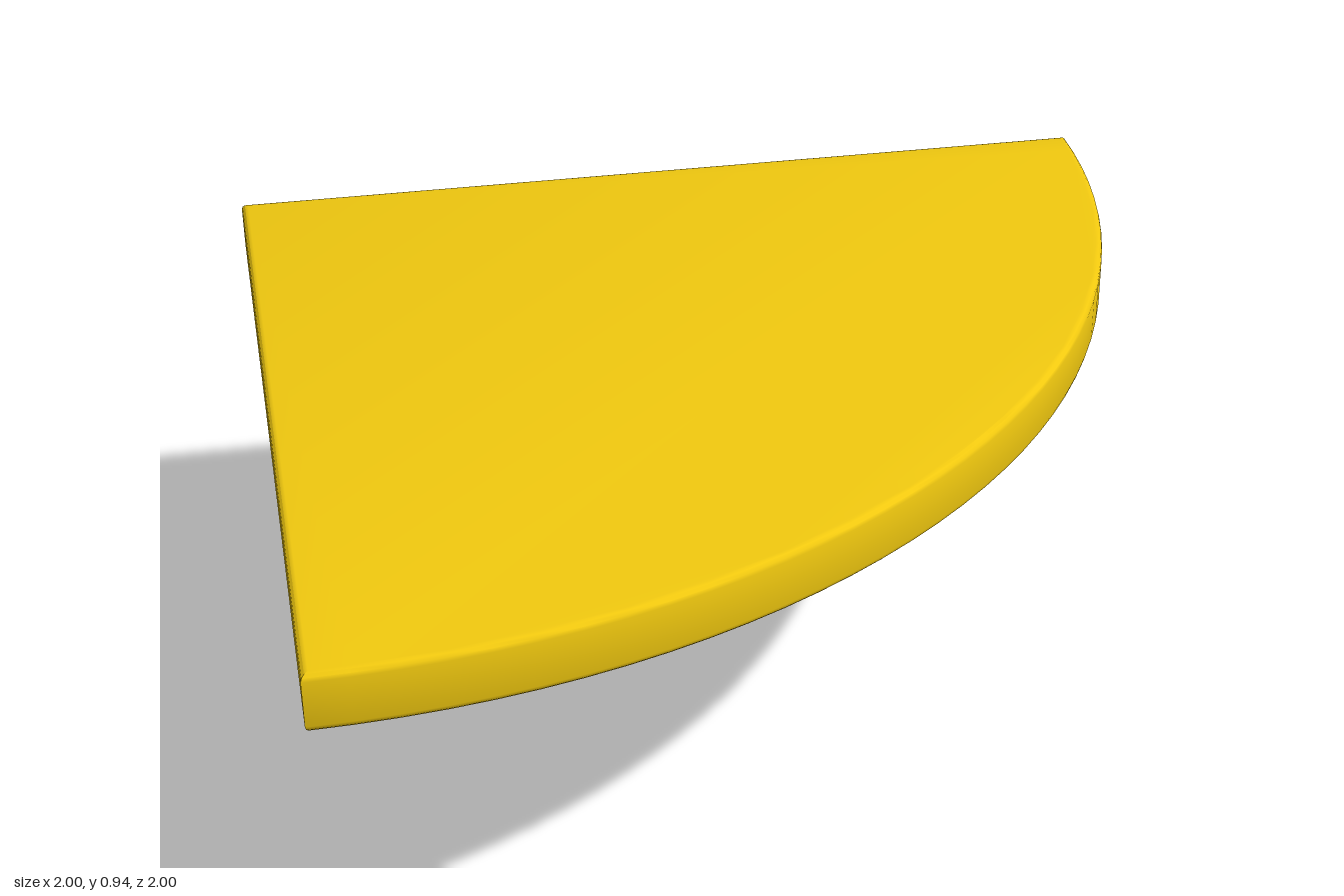
import * as THREE from 'three';
import { toCreasedNormals } from 'three/addons/utils/BufferGeometryUtils.js';

const BEVEL = 0.015;

// Extrude a shape to an exact thickness with small rounded edges kept inside the outline
function roundedPlate(shape, thickness, curveSegments) {
  const geometry = new THREE.ExtrudeGeometry(shape, {
    depth: thickness - 2 * BEVEL,
    bevelThickness: BEVEL,
    bevelSize: BEVEL,
    bevelOffset: -BEVEL,
    bevelSegments: 3,
    curveSegments,
  });
  geometry.translate(0, 0, BEVEL);
  return toCreasedNormals(geometry, 0.62);
}

// Side outline of a bracket: wall edge at u = 0, flat top, S-curved front
function bracketShape(stretch) {
  const curve = [
    [0.09, 0.015], [0.16, 0.05], [0.215, 0.12], [0.263, 0.235], [0.308, 0.325],
    [0.375, 0.39], [0.47, 0.44], [0.63, 0.485], [0.8, 0.522], [0.865, 0.55],
    [0.915, 0.605], [0.95, 0.69], [0.97, 0.8],
  ].map(([u, y]) => new THREE.Vector2(u * stretch, y));
  const shape = new THREE.Shape();
  shape.moveTo(0, 0);
  shape.splineThru(curve);
  shape.lineTo(0, 0.8);
  shape.closePath();
  return shape;
}

export function createModel() {
  const group = new THREE.Group();
  group.name = 'cornerShelf';
  const material = new THREE.MeshStandardMaterial({ color: 0xf0c80f });

  function add(name, geometry, x, y, z) {
    const mesh = new THREE.Mesh(geometry, material);
    mesh.name = name;
    mesh.position.set(x, y, z);
    group.add(mesh);
    return mesh;
  }

  // Quarter-round shelf board with its corner at the back
  const quarter = new THREE.Shape();
  quarter.moveTo(0, 0);
  quarter.lineTo(2, 0);
  quarter.absarc(0, 0, 2, 0, Math.PI / 2, false);
  quarter.closePath();
  add('shelfBoard', roundedPlate(quarter, 0.125, 18), -1, 0.945, -1).rotation.x = Math.PI / 2;

  // Two brackets at right angles, meeting at one vertical edge
  add('backBracket', roundedPlate(bracketShape(1), 0.15, 4), -0.62, 0, -0.85);
  add('sideBracket', roundedPlate(bracketShape(1.025), 0.15, 4), -0.62, 0, -0.7).rotation.y = -Math.PI / 2;

  return group;
}
